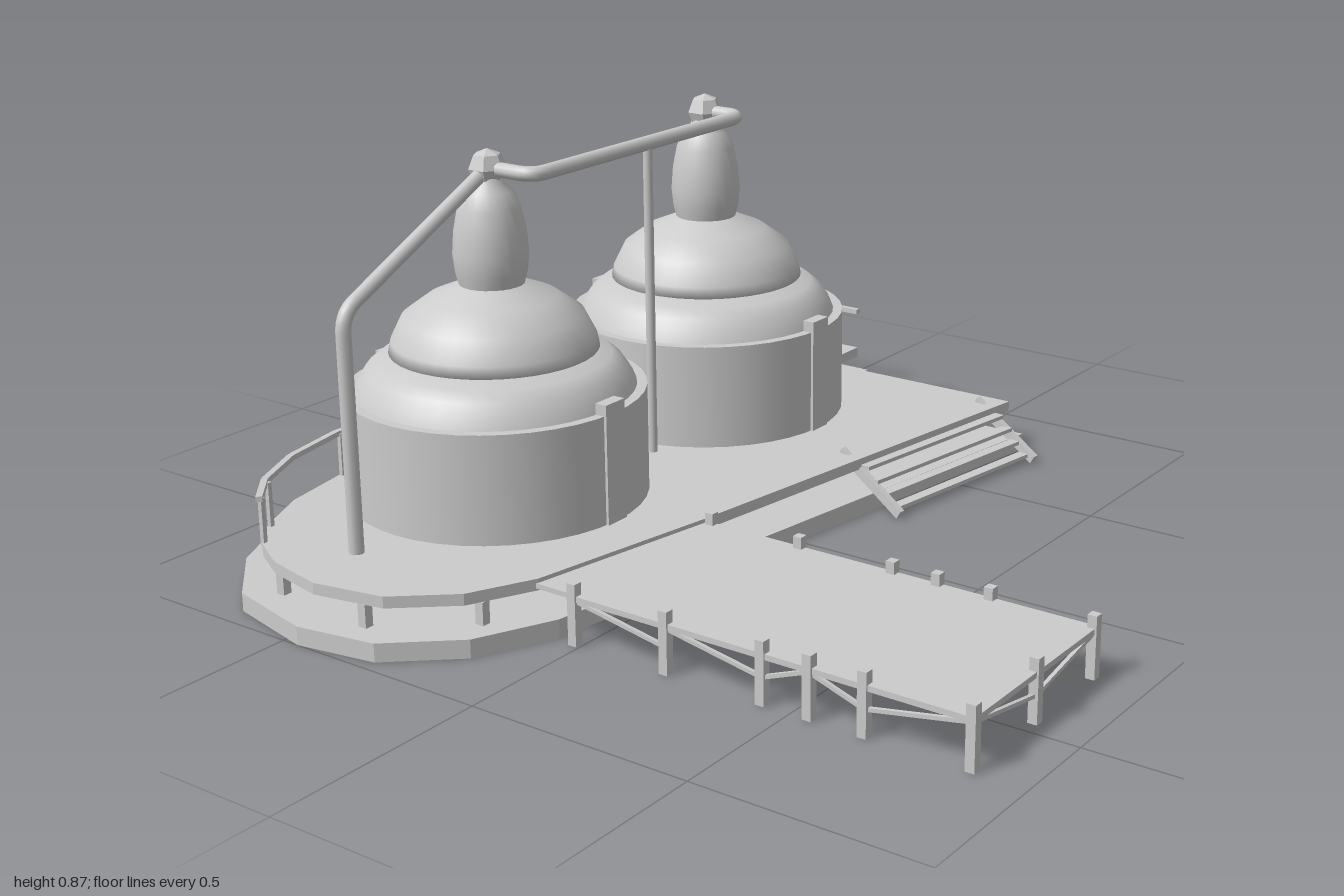
import * as THREE from 'three';

const grey = new THREE.MeshStandardMaterial({ color: 0xcccccc, side: THREE.DoubleSide });
const flat = new THREE.MeshStandardMaterial({ color: 0xcccccc, flatShading: true });
const V = (x, y, z) => new THREE.Vector3(x, y, z);

function add(parent, name, geometry, x = 0, y = 0, z = 0, material = grey) {
  const mesh = new THREE.Mesh(geometry, material);
  mesh.name = name;
  mesh.position.set(x, y, z);
  parent.add(mesh);
  return mesh;
}

// Horizontal slab from an outline of [x, z] points
function slab(parent, name, points, y, height) {
  const shape = new THREE.Shape(points.map(([x, z]) => new THREE.Vector2(x, -z)));
  const geometry = new THREE.ExtrudeGeometry(shape, { depth: height, bevelEnabled: false });
  add(parent, name, geometry.rotateX(-Math.PI / 2), 0, y, 0);
}

// Rounded back corner, from the back edge to the left edge
function backCorner(rx, rz) {
  return Array.from({ length: 9 }, (_, i) => {
    const a = (i / 8) * Math.PI / 2;
    return [-0.65 - rx * Math.sin(a), -0.62 - rz * Math.cos(a)];
  });
}

// Straight bar with a square section between two local points
function bar(parent, name, a, b, w = 0.01, h = w) {
  const mesh = add(parent, name, new THREE.BoxGeometry(w, h, a.distanceTo(b)));
  mesh.position.copy(a).lerp(b, 0.5);
  const turn = new THREE.Matrix4().lookAt(b, a, V(0, 1, 0));
  mesh.quaternion.setFromRotationMatrix(turn);
}

// Pipe through points with rounded corners
function pipe(parent, name, points, r = 0.016, bend = 0.04) {
  const path = new THREE.CurvePath();
  let last = points[0];
  for (let i = 1; i < points.length - 1; i++) {
    const p = points[i];
    const before = p.clone().add(points[i - 1].clone().sub(p).setLength(bend));
    const after = p.clone().add(points[i + 1].clone().sub(p).setLength(bend));
    path.add(new THREE.LineCurve3(last, before));
    path.add(new THREE.QuadraticBezierCurve3(before, p, after));
    last = after;
  }
  path.add(new THREE.LineCurve3(last, points[points.length - 1]));
  add(parent, name, new THREE.TubeGeometry(path, 80, r, 10));
}

function lathe(parent, name, profile, segments = 40) {
  const points = profile.map(([r, y]) => new THREE.Vector2(r, y));
  add(parent, name, new THREE.LatheGeometry(points, segments));
}

// Domed tank with an open-rimmed wall and stacked roof
function tank(x, z) {
  const g = new THREE.Group();
  g.name = 'tank';
  g.position.set(x, 0, z);
  add(g, 'tankWall', new THREE.CylinderGeometry(0.325, 0.325, 0.24, 40, 1, true), 0, 0.235, 0);
  add(g, 'tankRim', new THREE.RingGeometry(0.3, 0.325, 40).rotateX(-Math.PI / 2), 0, 0.355, 0);
  lathe(g, 'lowerDome', [[0.305, 0.35], [0.295, 0.375], [0.275, 0.405], [0.25, 0.425], [0.2, 0.437]]);
  lathe(g, 'upperDome', [[0.2, 0.432], [0.225, 0.44], [0.22, 0.465], [0.195, 0.515], [0.14, 0.555],
    [0.06, 0.588]]);
  lathe(g, 'spire', [[0.068, 0.575], [0.077, 0.61], [0.081, 0.65], [0.077, 0.7], [0.067, 0.75],
    [0.052, 0.785], [0.035, 0.8], [0.025, 0.83]], 24);
  add(g, 'finial', new THREE.SphereGeometry(0.042, 6, 4), 0, 0.832, 0, flat);
  for (const s of [-1, 1])
    add(g, 'wallBracket', new THREE.BoxGeometry(0.028, 0.265, 0.06), s * 0.315, 0.2475, 0);
  return g;
}

export function createModel() {
  const model = new THREE.Group();
  model.name = 'tankPlatform';

  // Base and raised deck
  slab(model, 'base', [[-0.42, -1], ...backCorner(0.25, 0.38),
    [-0.9, 0.5], [-0.87, 0.68], [-0.8, 0.82], [-0.67, 0.95], [-0.46, 1], [-0.28, 0.97], [-0.14, 0.85],
    [-0.06, 0.68], [0.16, -0.795], [-0.42, -0.795]], 0, 0.04);
  const railSide = [[-0.42, -0.95], ...backCorner(0.2, 0.33), [-0.85, 0.5], [-0.82, 0.66], [-0.76, 0.79], [-0.69, 0.87]];
  slab(model, 'deck', [...railSide, [-0.6, 0.92], [-0.46, 0.95], [-0.3, 0.92], [-0.18, 0.82], [-0.11, 0.68],
    [-0.03, 0.24], [0.12, -0.795], [-0.42, -0.795]], 0.09, 0.025);

  // Short legs between base and deck
  for (const [x, z] of [[-0.82, -0.4], [-0.82, 0], [-0.82, 0.4], [-0.77, 0.74], [-0.6, 0.9], [-0.35, 0.92],
    [-0.17, 0.78]])
    add(model, 'deckLeg', new THREE.BoxGeometry(0.02, 0.05, 0.02), x, 0.065, z);

  // Railing along the outer edge
  const railing = new THREE.Group();
  railing.name = 'railing';
  model.add(railing);
  const rail = railSide.map(([x, z]) => V(x, 0.213, z));
  for (let i = 1; i < rail.length; i++) bar(railing, 'handrail', rail[i - 1], rail[i], 0.014, 0.012);
  for (const [x, z] of [[-0.64, -0.945], [-0.785, -0.86], [-0.845, -0.6], [-0.845, -0.33],
    [-0.845, -0.05], [-0.845, 0.22], [-0.845, 0.49], [-0.75, 0.79], [-0.695, 0.86]])
    add(railing, 'railPost', new THREE.BoxGeometry(0.01, 0.105, 0.01), x, 0.16, z);

  // Tanks and pipework
  model.add(tank(-0.48, -0.375), tank(-0.5, 0.355));
  pipe(model, 'connectingPipe', [V(-0.5, 0.832, 0.355), V(-0.375, 0.832, 0.355),
    V(-0.375, 0.832, -0.375), V(-0.48, 0.832, -0.375)]);
  pipe(model, 'feedPipe', [V(-0.5, 0.832, 0.355), V(-0.5, 0.62, 0.79), V(-0.5, 0.1, 0.79)]);
  add(model, 'pipeSupport', new THREE.CylinderGeometry(0.011, 0.011, 0.76, 10), -0.375, 0.45, -0.025);

  // Pier with posts, edge beams and diagonal braces
  const pier = new THREE.Group();
  pier.name = 'pier';
  model.add(pier);
  slab(pier, 'pierDeck', [[-0.12, 0.685], [0.885, 0.685], [0.885, 0.235], [-0.03, 0.235]], 0.095, 0.011);
  const posts = [-0.015, 0.21, 0.435, 0.54, 0.66, 0.885];
  const post = (x, z) => add(pier, 'pierPost', new THREE.BoxGeometry(0.02, 0.132, 0.02), x, 0.066, z);
  for (const z of [0.235, 0.685]) {
    posts.forEach(x => post(x, z));
    bar(pier, 'edgeBeam', V(-0.03, 0.1, z), V(0.885, 0.1, z), 0.012);
    [[0, 0.095, 1, 0.055], [1, 0.095, 2, 0.055], [2, 0.055, 3, 0.095], [3, 0.095, 4, 0.055], [4, 0.055, 5, 0.095]]
      .forEach(([i, ya, j, yb]) => bar(pier, 'brace', V(posts[i], ya, z), V(posts[j], yb, z), 0.008));
    bar(pier, 'endBrace', V(0.885, 0.095, z), V(0.885, 0.055, 0.46), 0.008);
  }
  post(0.885, 0.46);
  bar(pier, 'endBeam', V(0.885, 0.1, 0.235), V(0.885, 0.1, 0.685), 0.012);

  // Side stairs, turned to follow the slanted deck edge
  const stairs = new THREE.Group();
  stairs.name = 'stairs';
  stairs.position.set(0.078, 0, -0.5);
  stairs.rotation.y = -0.15;
  model.add(stairs);
  for (const z of [-0.245, 0.245])
    bar(stairs, 'stringer', V(-0.06, 0.118, z), V(0.118, 0.01, z), 0.014, 0.022);
  for (let i = 0; i < 4; i++)
    add(stairs, 'tread', new THREE.BoxGeometry(0.026, 0.009, 0.49), 0.01 + i * 0.027, 0.095 - i * 0.026, 0);

  return model;
}
